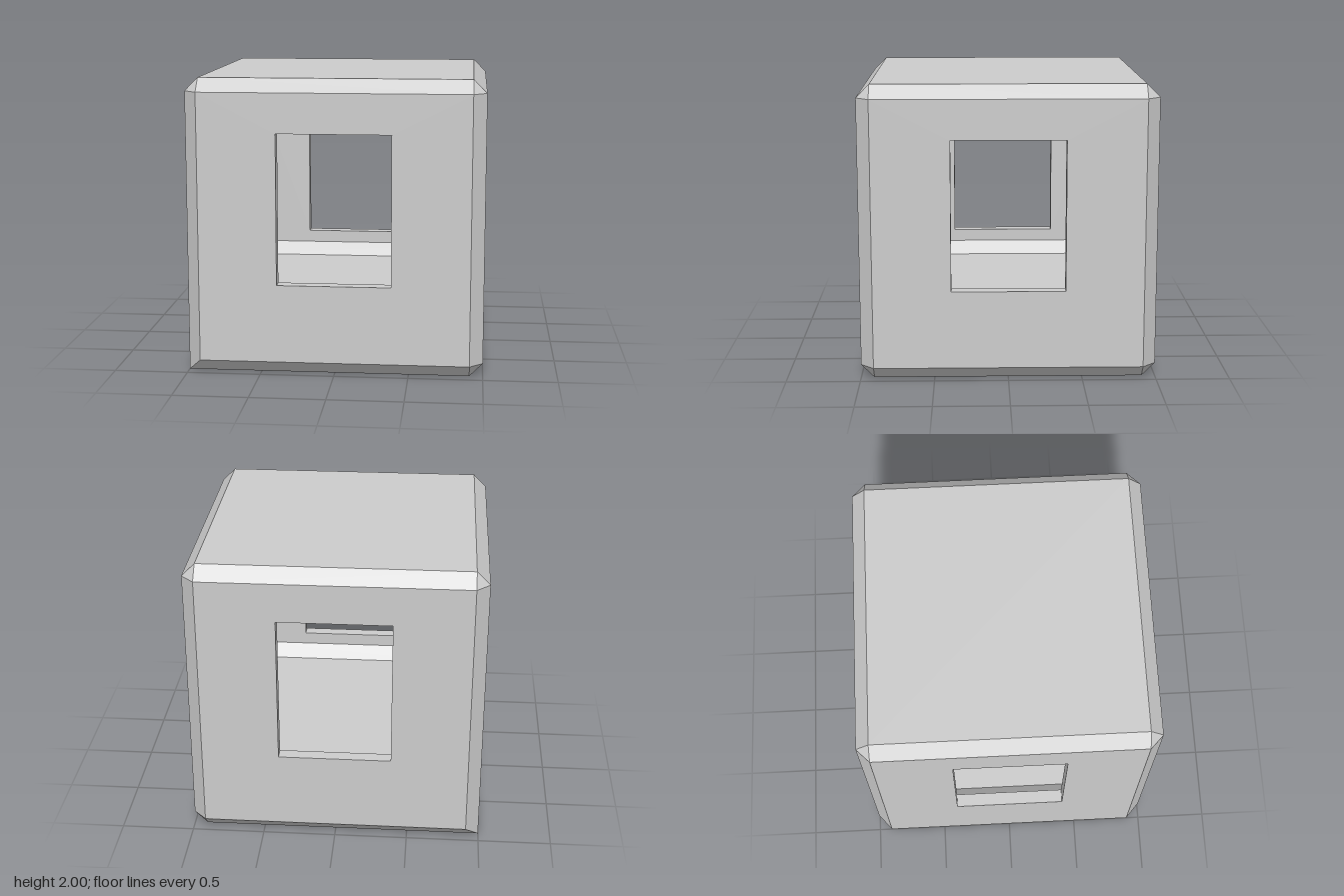
import * as THREE from 'three';

const BEVEL = 0.09;
const WINDOW = { half: 0.383, bottom: 0.62, top: 1.64 };
const OUTER = { half: 1, bottom: 0, top: 2 };
const INNER = { half: 0.91, bottom: 0.44, top: 1.91 };
const SIGNS = [-1, 1];
const LOOP = [[-1, -1], [1, -1], [1, 1], [-1, 1]];

// Adds a flat convex polygon facing away from ref (facing = 1) or towards it (facing = -1).
function addPolygon(out, points, ref, facing) {
  for (let i = 1; i < points.length - 1; i++) {
    const [a, b, c] = [points[0], points[i], points[i + 1]];
    const normal = b.clone().sub(a).cross(c.clone().sub(a));
    if (normal.length() < 1e-8) continue;
    const flip = normal.dot(a.clone().sub(ref)) * facing < 0;
    for (const p of flip ? [a, c, b] : [a, b, c]) out.push(p.x, p.y, p.z);
  }
}

function makeMesh(name, positions) {
  const geometry = new THREE.BufferGeometry();
  geometry.setAttribute('position', new THREE.Float32BufferAttribute(positions, 3));
  geometry.computeVertexNormals();
  const mesh = new THREE.Mesh(geometry, new THREE.MeshStandardMaterial({ color: 0xcccccc, flatShading: true }));
  mesh.name = name;
  return mesh;
}

// Four corners of a window on the wall plane at the given distance.
function windowLoop(axis, sign, distance) {
  return LOOP.map(([u, v]) => {
    const y = v < 0 ? WINDOW.bottom : WINDOW.top;
    return axis === 0
      ? new THREE.Vector3(sign * distance, y, u * WINDOW.half)
      : new THREE.Vector3(u * WINDOW.half, y, sign * distance);
  });
}

// Bevelled box with a window in each side wall; facing -1 turns it into a cavity.
function bevelledShell(name, size, facing, sharpEdge) {
  const out = [];
  const midY = (size.bottom + size.top) / 2;
  const half = [size.half, (size.top - size.bottom) / 2, size.half];
  const centre = new THREE.Vector3(0, midY, 0);

  // The corner of the face on `axis` nearest to the box corner s.
  const corner = (s, axis) => {
    const sharp = sharpEdge && s[0] < 0 && s[1] < 0 && axis !== 2;
    const p = half.map((h, i) => s[i] * (i === axis || (sharp && i < 2) ? h : h - BEVEL));
    return new THREE.Vector3(p[0], p[1] + midY, p[2]);
  };
  const place = (axis, sign, u, v) => {
    if (axis === 0) return [sign, v, u];
    return axis === 1 ? [u, sign, v] : [u, v, sign];
  };

  for (let axis = 0; axis < 3; axis++) {
    for (const sign of SIGNS) {
      // Faces: plain top and bottom, windowed walls
      const rim = LOOP.map(([u, v]) => corner(place(axis, sign, u, v), axis));
      if (axis === 1) addPolygon(out, rim, centre, facing);
      else {
        const hole = windowLoop(axis, sign, size.half);
        for (let i = 0; i < 4; i++) {
          const j = (i + 1) % 4;
          addPolygon(out, [rim[i], rim[j], hole[j], hole[i]], centre, facing);
        }
      }
    }
    // Bevels along the four edges parallel to this axis
    const a = (axis + 1) % 3, b = (axis + 2) % 3;
    for (const [u, v] of LOOP) {
      const start = [0, 0, 0];
      start[a] = u;
      start[b] = v;
      const end = start.slice();
      start[axis] = -1;
      end[axis] = 1;
      addPolygon(out, [corner(start, a), corner(end, a), corner(end, b), corner(start, b)], centre, facing);
    }
  }
  // Corner triangles
  for (const x of SIGNS) for (const y of SIGNS) for (const z of SIGNS) {
    addPolygon(out, [0, 1, 2].map((axis) => corner([x, y, z], axis)), centre, facing);
  }
  return makeMesh(name, out);
}

// The four surfaces lining a window through the wall thickness.
function windowReveal(name, axis, sign) {
  const out = [];
  const outer = windowLoop(axis, sign, OUTER.half);
  const inner = windowLoop(axis, sign, INNER.half);
  const centre = outer[0].clone().add(inner[2]).multiplyScalar(0.5);
  for (let i = 0; i < 4; i++) {
    const j = (i + 1) % 4;
    addPolygon(out, [outer[i], outer[j], inner[j], inner[i]], centre, -1);
  }
  return makeMesh(name, out);
}

export function createModel() {
  const model = new THREE.Group();
  model.name = 'windowedCube';
  model.add(
    bevelledShell('outerShell', OUTER, 1, true),
    bevelledShell('innerChamber', INNER, -1, false),
    windowReveal('leftWindowReveal', 0, 1),
    windowReveal('rightWindowReveal', 0, -1),
    windowReveal('frontWindowReveal', 2, 1),
    windowReveal('backWindowReveal', 2, -1),
  );
  return model;
}
